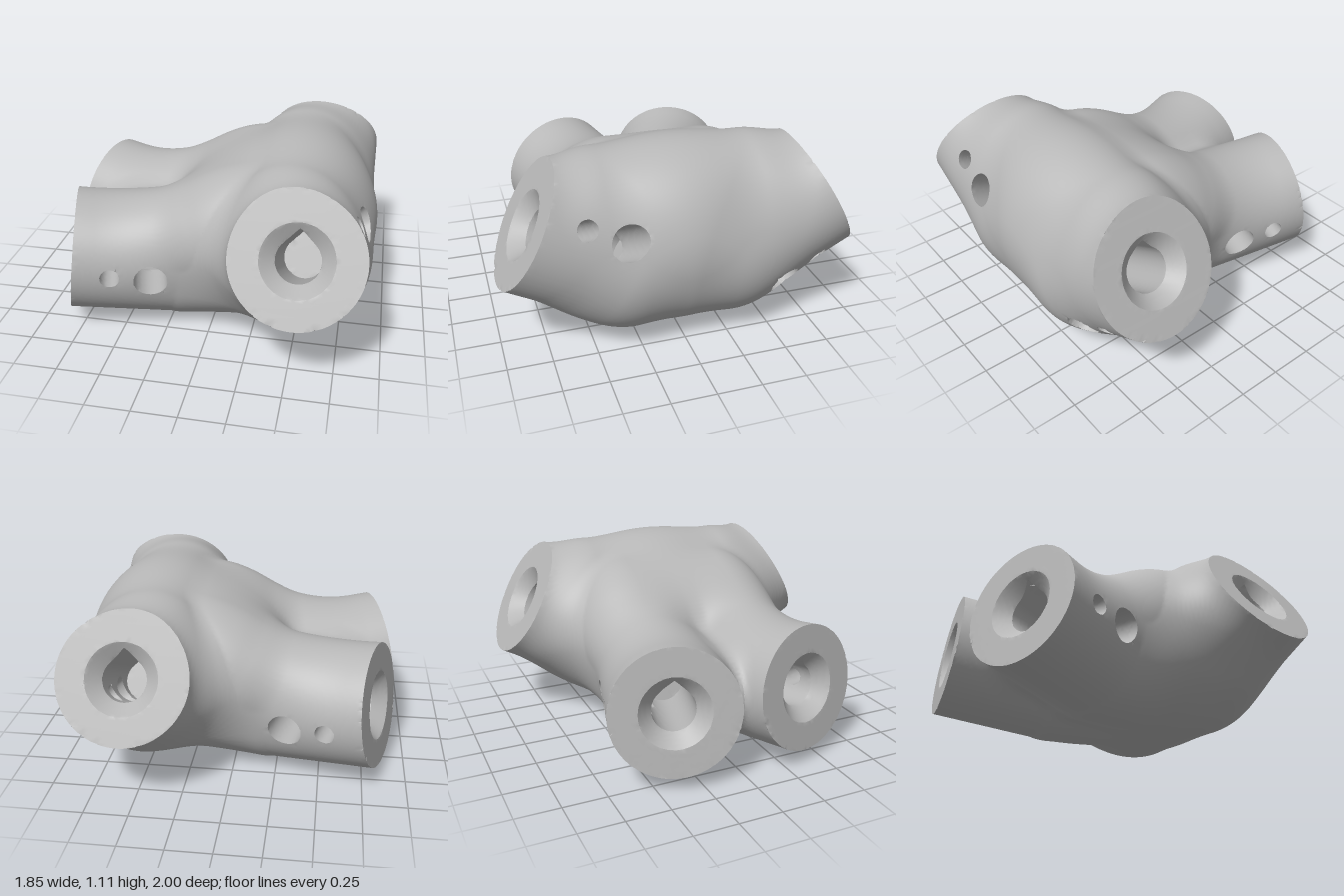
import * as THREE from 'three';
import { toCreasedNormals } from 'three/addons/utils/BufferGeometryUtils.js';

const V = (x, y, z) => new THREE.Vector3(x, y, z);

// Four tube ends: cap centre, outward axis and the angle of the pin holes around it
const arms = [
  [V(0.533, 0.742, 0.834), V(0, 0.47, 0.883), 34],
  [V(0.533, 0.742, -0.834), V(0, 0.47, -0.883), -44],
  [V(-0.823, 0.44, 0.397), V(-0.95, 0.115, 0.28), 0],
  [V(-0.823, 0.44, -0.397), V(-0.95, 0.115, -0.28), -4],
].map(([c, axis, degrees]) => {
  const n = axis.normalize();
  const up = V(0, 1, 0).addScaledVector(n, -n.y).normalize();
  const side = up.clone().cross(n).multiplyScalar(Math.sign(c.z));
  const a = THREE.MathUtils.degToRad(degrees);
  const pin = side.clone().multiplyScalar(Math.cos(a)).addScaledVector(up, Math.sin(a));
  return { c, n, up, side, pin, pinSide: pin.clone().cross(n) };
});

const along = (arm, t) => arm.c.clone().addScaledVector(arm.n, -t);
const smoothMin = (a, b, k) => {
  const h = Math.max(k - Math.abs(a - b), 0) / k;
  return Math.min(a, b) - h * h * k * 0.25;
};

// Distance to a round-ended rod from a to b
function rod(a, b, r) {
  const d = b.clone().sub(a), len = d.lengthSq();
  return (x, y, z) => {
    const px = x - a.x, py = y - a.y, pz = z - a.z;
    const t = Math.min(1, Math.max(0, (px * d.x + py * d.y + pz * d.z) / len));
    return Math.hypot(px - t * d.x, py - t * d.y, pz - t * d.z) - r;
  };
}

const frontArm = rod(along(arms[0], -0.6), along(arms[0], 0.54), 0.355);
const sideArm = rod(along(arms[2], -0.6), along(arms[2], 0.65), 0.355);
const sideRoot = rod(along(arms[2], 0.65), V(0.35, 0.42, 0.12), 0.36);
const sideRidge = rod(V(-0.6, 0.43, 0.33), V(-0.02, 0.56, 0.28), 0.305);
const web = rod(V(-0.54, 0.42, 0), V(-0.2, 0.42, 0), 0.2);
const shoulder = rod(V(0.05, 0.6, -0.3), V(0.05, 0.6, 0.3), 0.32);
const upperBrace = rod(V(0.05, 0.55, 0.28), V(0.4, 0.6, 0.56), 0.31);
const lowerBrace = rod(V(0, 0.42, 0.22), V(0.47, 0.5, 0.48), 0.325);
const crown = rod(V(0.45, 0.755, -0.43), V(0.45, 0.755, 0.43), 0.33);
const crownSlope = rod(V(0.22, 0.695, -0.28), V(0.22, 0.695, 0.28), 0.32);
const belly = rod(V(0.5, 0.425, -0.25), V(0.5, 0.425, 0.25), 0.36);

// Rounded core of the hub
function core(x, y, z) {
  const sx = 0.47, sy = 0.51, sz = 0.56, px = x - 0.453, py = y - 0.57;
  const k0 = Math.hypot(px / sx, py / sy, z / sz);
  const k1 = Math.hypot(px / sx ** 2, py / sy ** 2, z / sz ** 2);
  return k1 < 1e-6 ? -sx : k0 * (k0 - 1) / k1;
}

// One side arm with its root and raised ridge
const sideBranch = (x, y, z) =>
  smoothMin(Math.min(sideArm(x, y, z), sideRoot(x, y, z)), sideRidge(x, y, z), 0.06);

// Blended outer skin
function skin(x, y, z) {
  const az = Math.abs(z);
  let d = smoothMin(sideBranch(x, y, z), sideBranch(x, y, -z), 0.07);
  d = smoothMin(d, web(x, y, z), 0.12);
  const braces = smoothMin(upperBrace(x, y, az), lowerBrace(x, y, az), 0.05);
  d = smoothMin(d, Math.min(shoulder(x, y, z), braces), 0.12);
  const top = smoothMin(crown(x, y, z), crownSlope(x, y, z), 0.04);
  let hub = smoothMin(core(x, y, z), top, 0.12);
  hub = smoothMin(hub, belly(x, y, z), 0.06);
  hub = smoothMin(hub, frontArm(x, y, az), 0.15);
  return smoothMin(d, hub, 0.12);
}

// Skin cut by flat caps, tapered sockets, pointed-roof bores and pin holes
function hub(x, y, z) {
  let d = Math.max(skin(x, y, z), -y);
  if (d > 0.1) return d;
  for (const { c, n, up, side, pin, pinSide } of arms) {
    const px = x - c.x, py = y - c.y, pz = z - c.z;
    const dot = (v) => px * v.x + py * v.y + pz * v.z;
    const t = -dot(n), u = Math.abs(dot(side)), v = dot(up);
    const round = Math.hypot(u, v);
    const taper = Math.max((round - 0.196 + t) * Math.SQRT1_2, t - 0.076);
    const bore = Math.max((v > u ? (u + v) * Math.SQRT1_2 : round) - 0.12, t - 0.6);
    const w = dot(pinSide);
    const smallPin = Math.hypot(t - 0.21, w) - 0.055;
    const largePin = Math.hypot(t - 0.44, w) - 0.095;
    const pins = Math.max(Math.min(smallPin, largePin), -dot(pin));
    d = Math.max(d, -t, -Math.min(taper, bore, pins));
  }
  return d;
}

// Turns a distance rule into a mesh: one vertex per crossed cell, kept sharp at edges
function meshFrom(f, min, size, h) {
  const N = size.map((s) => Math.ceil(s / h) + 1);
  const stride = [1, N[0], N[0] * N[1]];
  const at = (g) => g.map((v, a) => min[a] + v * h);
  const field = new Float32Array(N[0] * N[1] * N[2]);
  const eachSample = (fn) => {
    for (let k = 0, id = 0; k < N[2]; k++)
      for (let j = 0; j < N[1]; j++)
        for (let i = 0; i < N[0]; i++, id++) fn(id, i, j, k);
  };
  eachSample((id, i, j, k) => { field[id] = f(min[0] + i * h, min[1] + j * h, min[2] + k * h); });

  // Surface point and normal on a crossed grid edge
  const crossing = (g, axis, inside) => {
    const p = at(g), start = p[axis];
    let lo = 0, hi = h;
    for (let s = 0; s < 7; s++) {
      const mid = (lo + hi) / 2;
      p[axis] = start + mid;
      if ((f(...p) < 0) === inside) lo = mid; else hi = mid;
    }
    p[axis] = start + (lo + hi) / 2;
    const e = 5e-4;
    const n = V(
      f(p[0] + e, p[1], p[2]) - f(p[0] - e, p[1], p[2]),
      f(p[0], p[1] + e, p[2]) - f(p[0], p[1] - e, p[2]),
      f(p[0], p[1], p[2] + e) - f(p[0], p[1], p[2] - e)).normalize();
    return { p: V(...p), n };
  };

  const cells = new Map(), quads = [];
  eachSample((id, i, j, k) => {
    const g = [i, j, k];
    for (let a = 0; a < 3; a++) {
      const b = (a + 1) % 3, c = (a + 2) % 3;
      if (g[a] + 1 >= N[a] || !g[b] || !g[c]) continue;
      const inside = field[id] < 0;
      if (inside === field[id + stride[a]] < 0) continue;
      const hit = crossing(g, a, inside);
      const quad = [id, id - stride[b], id - stride[b] - stride[c], id - stride[c]];
      for (const cell of quad) {
        if (!cells.has(cell)) cells.set(cell, []);
        cells.get(cell).push(hit);
      }
      quads.push(inside ? quad : quad.reverse());
    }
  });

  // Slide each vertex onto the planes of its crossings
  const positions = [], index = new Map();
  for (const [cell, hits] of cells) {
    const p = V(0, 0, 0), move = V(0, 0, 0);
    for (const hit of hits) p.addScaledVector(hit.p, 1 / hits.length);
    for (let s = 0; s < 20; s++) {
      move.set(0, 0, 0);
      for (const { p: q, n } of hits)
        move.addScaledVector(n, n.dot(q) - n.dot(p));
      p.addScaledVector(move, 1 / hits.length);
    }
    const g = [cell % N[0], Math.floor(cell / stride[1]) % N[1], Math.floor(cell / stride[2])];
    const low = V(...at(g));
    p.clamp(low, low.clone().addScalar(h));
    index.set(cell, positions.length / 3);
    positions.push(p.x, p.y, p.z);
  }
  const faces = [];
  for (const quad of quads) {
    const [a, b, c, d] = quad.map((cell) => index.get(cell));
    faces.push(a, b, c, a, c, d);
  }
  const geometry = new THREE.BufferGeometry();
  geometry.setAttribute('position', new THREE.Float32BufferAttribute(positions, 3));
  geometry.setIndex(faces);
  return toCreasedNormals(geometry, 0.6);
}

export function createModel() {
  const group = new THREE.Group();
  group.name = 'tubeConnector';
  const grey = new THREE.MeshStandardMaterial({ color: 0xb8b8b8 });
  grey.name = 'grey';
  const geometry = meshFrom(hub, [-1.003, -0.037, -1.027], [2.0, 1.22, 2.06], 0.019);
  const body = new THREE.Mesh(geometry, grey);
  body.name = 'fourWayHub';
  group.add(body);
  return group;
}
